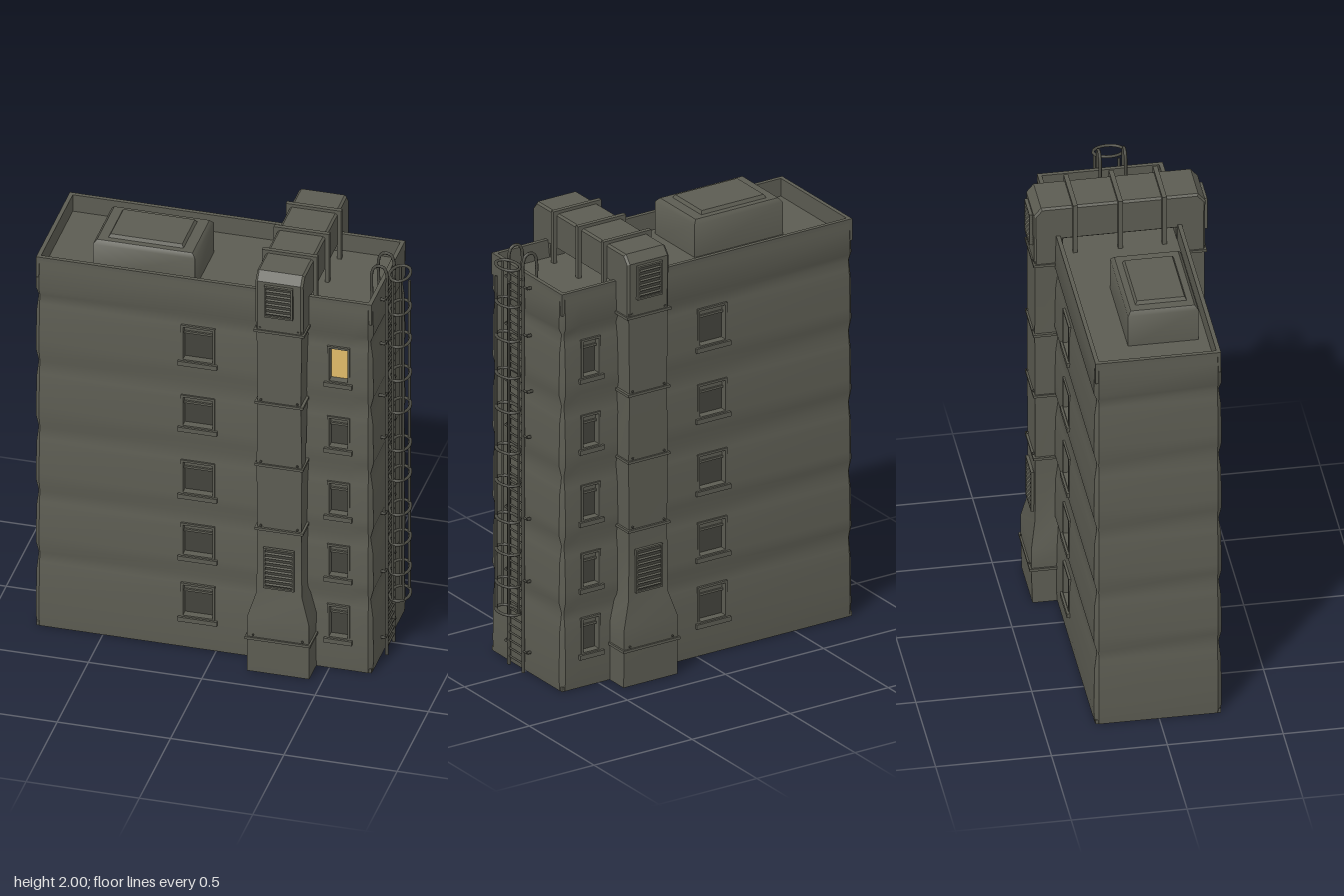
import * as THREE from 'three';
import { toCreasedNormals } from 'three/addons/utils/BufferGeometryUtils.js';

const mat = (name, color, side = THREE.FrontSide) => {
  const m = new THREE.MeshStandardMaterial({ color, side });
  m.name = name;
  return m;
};

export function createModel() {
  const wall = mat('wall grey', 0x5c5c52, THREE.DoubleSide);
  const metal = mat('ladder metal', 0x4c4c44);
  const dark = mat('dark glass', 0x43433c);
  const lit = mat('lit window', 0xe0bb68);
  const root = new THREE.Group();
  root.name = 'building';

  const add = (parent, name, geo, m = wall) => {
    const mesh = new THREE.Mesh(geo, m);
    mesh.name = name;
    parent.add(mesh);
    return mesh;
  };
  const group = (name, parent = root) => {
    const g = new THREE.Group();
    g.name = name;
    parent.add(g);
    return g;
  };
  // Box from its minimum and maximum corners
  const box = (parent, name, x0, x1, y0, y1, z0, z1, m = wall) => {
    const geo = new THREE.BoxGeometry(x1 - x0, y1 - y0, z1 - z0);
    geo.translate((x0 + x1) / 2, (y0 + y1) / 2, (z0 + z1) / 2);
    return add(parent, name, geo, m);
  };
  const rod = (parent, name, p, q, r, m = metal) => {
    const a = new THREE.Vector3(...p), b = new THREE.Vector3(...q);
    const mesh = add(parent, name, new THREE.CylinderGeometry(r, r, a.distanceTo(b), 6), m);
    mesh.position.copy(a).add(b).multiplyScalar(0.5);
    mesh.quaternion.setFromUnitVectors(new THREE.Vector3(0, 1, 0), b.sub(a).normalize());
  };
  // Rectangular ring lying in xy, extruded along z
  const rectPath = (path, x0, x1, y0, y1) =>
    path.moveTo(x0, y0).lineTo(x1, y0).lineTo(x1, y1).lineTo(x0, y1).closePath();
  const ring = (x0, x1, y0, y1, t, depth) => {
    const s = new THREE.Shape(), h = new THREE.Path();
    rectPath(s, x0, x1, y0, y1);
    rectPath(h, x0 + t, x1 - t, y0 + t, y1 - t);
    s.holes.push(h);
    return new THREE.ExtrudeGeometry(s, { depth, bevelEnabled: false });
  };
  // Skin over a stack of equal-length point loops
  const loft = (loops, skip = () => false, caps = false) => {
    const pos = [], n = loops[0].length;
    const tri = (...ps) => ps.forEach((p) => pos.push(...p));
    for (let j = 0; j < loops.length - 1; j++) for (let i = 0; i < n; i++) {
      const k = (i + 1) % n, a = loops[j][i], b = loops[j][k], c = loops[j + 1][k], d = loops[j + 1][i];
      if (skip(a, c)) continue;
      tri(a, b, c);
      tri(a, c, d);
    }
    if (caps) for (let i = 1; i < n - 1; i++) {
      const lo = loops[0], hi = loops[loops.length - 1];
      tri(lo[0], lo[i + 1], lo[i]);
      tri(hi[0], hi[i], hi[i + 1]);
    }
    const geo = new THREE.BufferGeometry();
    geo.setAttribute('position', new THREE.Float32BufferAttribute(pos, 3));
    geo.computeVertexNormals();
    return toCreasedNormals(geo, 0.7);
  };

  // Walls: slightly bulging storeys with window openings
  const L = -0.8, R = 0.69, F = 0.272, B = -0.28, C = 0.02, TOP = 1.84;
  const columns = [[-0.155, -0.005], [0.49, 0.59]];
  const storeys = [[0.15, 0.32], [0.455, 0.62], [0.765, 0.935], [1.1, 1.26], [1.43, 1.61]];
  const seams = [0, 0.36, 0.67, 0.99, 1.32, 1.65, TOP];
  const profile = [[0, 0.004]];
  for (let i = 0; i < 6; i++) {
    const a = seams[i], h = seams[i + 1] - a;
    profile.push([a + h * 0.16, 0], [a + h * 0.75, 0.003], [a + h, i < 5 ? 0.013 : 0.006]);
  }
  const insetAt = (y) => {
    const i = Math.max(1, profile.findIndex((p) => p[0] >= y - 1e-6));
    const [y0, a] = profile[i - 1], [y1, b] = profile[i];
    return a + (b - a) * (y - y0) / (y1 - y0);
  };
  const xs = [L + C, ...columns.flat(), R - C];
  const plan = [...xs.map((x) => [x, F]), [R, F - C], [R, B + C],
    ...[...xs].reverse().map((x) => [x, B]), [L, B + C], [L, F - C]];
  const rows = [...profile.map((p) => p[0]), ...storeys.flat()].sort((a, b) => a - b);
  const clamp = THREE.MathUtils.clamp;
  const wallLoops = rows.map((y) => {
    const t = insetAt(y);
    return plan.map(([x, z]) => [clamp(x, L + t, R - t), y, clamp(z, B + t, F - t)]);
  });
  const inside = (v, ranges) => ranges.some(([a, b]) => v > a && v < b);
  add(root, 'walls', loft(wallLoops, (a, c) =>
    inside((a[0] + c[0]) / 2, columns) && inside((a[1] + c[1]) / 2, storeys)));
  box(root, 'underside', L + 0.006, R - 0.006, 0, 0.02, B + 0.006, F - 0.006);
  box(root, 'roofFloor', L + 0.015, R - 0.015, 1.74, 1.76, B + 0.015, F - 0.015);
  const parapet = ring(L + 0.005, R - 0.005, -F + 0.005, -B - 0.005, 0.018, 0.1);
  parapet.rotateX(-Math.PI / 2);
  parapet.translate(0, TOP - 0.098, 0);
  add(root, 'parapet', parapet);

  // Windows, front and back
  const addWindow = (cx, z, w, y0, y1, back, glow) => {
    const g = group('window');
    g.position.set(cx, 0, z);
    if (back) g.rotation.y = Math.PI;
    const h = w / 2, bar = y1 - 0.045;
    const frame = ring(-h, h, y0, y1, 0.01, 0.042);
    frame.translate(0, 0, -0.04);
    add(g, 'windowFrame', frame);
    box(g, 'windowPane', -h, h, y0, y1, -0.04, -0.032, glow ? lit : dark);
    box(g, 'windowSill', -h - 0.012, h + 0.012, y0 - 0.018, y0 + 0.003, -0.02, 0.012);
    if (glow) return;
    box(g, 'windowBar', -h, h, bar - 0.005, bar + 0.005, -0.034, -0.018);
    box(g, 'windowBlind', -h + 0.01, h - 0.01, bar, y1 - 0.01, -0.034, -0.027);
  };
  columns.forEach(([x0, x1], c) => storeys.forEach(([y0, y1], s) => {
    addWindow((x0 + x1) / 2, F, x1 - x0, y0, y1, false, c === 1 && s === 4);
    addWindow((x0 + x1) / 2, B, x1 - x0, y0, y1, true, false);
  }));

  // Roof unit with a raised lid
  const slab = (y, x0, x1, z0, z1) => [[x0, y, z1], [x1, y, z1], [x1, y, z0], [x0, y, z0]];
  add(root, 'roofUnit', loft([slab(1.755, -0.56, -0.11, -0.095, 0.21), slab(1.91, -0.56, -0.11, -0.095, 0.21),
    slab(1.928, -0.545, -0.125, -0.08, 0.195)], undefined, true));
  add(root, 'roofUnitLid', loft([slab(1.925, -0.505, -0.17, -0.055, 0.17),
    slab(1.943, -0.495, -0.18, -0.045, 0.16)], undefined, true));

  // Air duct: a riser on each face joined over the roof
  const duct = group('airDuct');
  duct.position.x = 0.305;
  const grille = (parent, w, y0, y1, z) => {
    const frame = ring(-w, w, y0, y1, 0.008, 0.018);
    frame.translate(0, 0, z - 0.006);
    add(parent, 'grilleFrame', frame);
    box(parent, 'grilleBack', -w, w, y0, y1, z - 0.006, z + 0.003, dark);
    for (let y = y0 + 0.02; y < y1 - 0.012; y += 0.022) {
      const slat = add(parent, 'grilleSlat', new THREE.BoxGeometry(2 * w - 0.016, 0.004, 0.014));
      slat.position.set(0, y, z + 0.004);
      slat.rotation.x = 0.5;
    }
  };
  for (const side of [0, 1]) {
    const riser = group(side ? 'backRiser' : 'frontRiser', duct);
    riser.rotation.y = side * Math.PI;
    const gap = side ? 0.25 : 0.305;
    const cuts = [[0, 0.137, 0.25, 0.383], [0.17, 0.137, 0.25, 0.388], [0.27, 0.137, 0.25, 0.388],
      [0.39, 0.1, 0.25, 0.366], [0.71, 0.097, 0.25, 0.364], [1.03, 0.1, 0.25, 0.366],
      [1.03, 0.1, gap, 0.366], [1.34, 0.095, 0.255, 0.366], [1.72, 0.1, 0.25, 0.366]];
    add(riser, 'riserDuct', loft(cuts.map(([y, w, a, b]) => slab(y, -w, w, a, b)), undefined, true));
    for (const [y, w, z] of [[0.17, 0.145, 0.396], [0.71, 0.107, 0.374], [1.03, 0.107, 0.374],
      [1.34, 0.107, 0.374], [1.7, 0.112, 0.374]]) {
      box(riser, 'flange', -w, w, y - 0.006, y + 0.006, 0.274, z);
      for (const x of [-0.75, 0.75])
        rod(riser, 'bolt', [x * w, y + 0.016, z - 0.02], [x * w, y + 0.016, z - 0.002], 0.005);
    }
    grille(riser, 0.068, 0.42, 0.62, 0.366);
    grille(riser, 0.063, 1.78, 1.935, 0.372);
  }
  // Roof crossing with chamfered shoulders
  const arch = new THREE.Shape([[-0.36, 1.7], [-0.26, 1.7], [-0.25, 1.83], [0.25, 1.83], [0.26, 1.7], [0.36, 1.7],
    [0.362, 1.945], [0.335, 1.978], [-0.335, 1.978], [-0.362, 1.945]].map((p) => new THREE.Vector2(...p)));
  const crossing = new THREE.ExtrudeGeometry(arch,
    { depth: 0.19, bevelThickness: 0.01, bevelSize: 0.008, bevelSegments: 1 });
  crossing.translate(0, 0, -0.095);
  crossing.rotateY(Math.PI / 2);
  add(duct, 'roofCrossing', crossing);
  for (const z of [-0.195, 0, 0.19]) {
    box(duct, 'strapTop', -0.122, 0.122, 1.98, 2, z - 0.01, z + 0.01);
    for (const x of [-0.113, 0.113])
      box(duct, 'strapLeg', x - 0.009, x + 0.009, 1.755, 1.985, z - 0.01, z + 0.01);
  }

  // Ladder with handrail hooks
  const ladder = group('ladder');
  const tube = (name, pts, r, closed = false) => add(ladder, name, new THREE.TubeGeometry(
    new THREE.CatmullRomCurve3(pts.map((p) => new THREE.Vector3(...p)), closed), 28, r, 6, closed), metal);
  const X = 0.707, rails = [0.1, -0.01];
  for (const z of rails) {
    rod(ladder, 'rail', [X, 0, z], [X, 1.82, z], 0.008);
    tube('handrail', [[X, 1.81, z], [X, 1.9, z], [0.692, 1.932, z], [0.66, 1.934, z],
      [0.643, 1.91, z], [0.642, 1.755, z]], 0.007);
    for (const y of [0.1, 0.43, 0.72, 1.1, 1.31, 1.57, 1.79]) {
      const out = z > 0.05 ? 0.028 : -0.028;
      rod(ladder, 'bracket', [0.68, y, z + out], [X, y, z + out], 0.007);
      rod(ladder, 'bracketArm', [X, y, z], [X, y, z + out], 0.005);
    }
  }
  for (let y = 0.04; y < 1.82; y += 0.037) rod(ladder, 'rung', [X, y, rails[0]], [X, y, rails[1]], 0.005);

  // Safety cage
  for (const y of [0.28, 0.41, 0.56, 0.71, 0.88, 1.03, 1.22, 1.38, 1.55, 1.71, 1.88]) {
    const pts = [];
    for (let i = 0; i < 12; i++) {
      const a = i * Math.PI / 6;
      pts.push([0.75 + 0.043 * Math.cos(a), y, 0.044 + 0.066 * Math.sin(a)]);
    }
    tube('cageHoop', pts, 0.007, true);
  }
  for (const [x, z, top] of [[0.735, 0.106, 1.88], [0.735, -0.018, 1.88], [0.778, 0.094, 1.82], [0.778, -0.006, 1.82]])
    rod(ladder, 'cageBar', [x, 0.28, z], [x, top, z], 0.006);

  return root;
}
